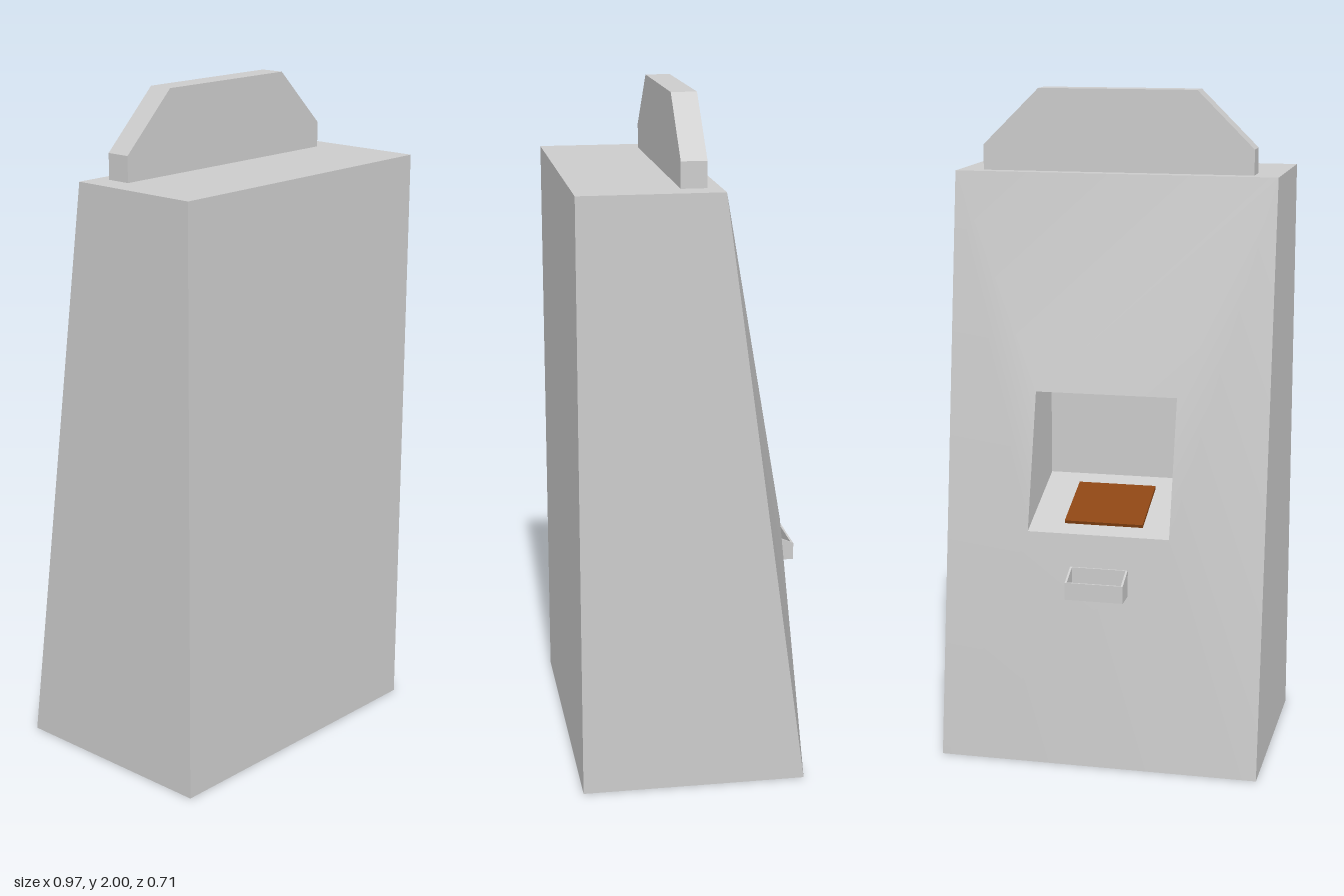
import * as THREE from 'three';

const grey = new THREE.MeshStandardMaterial({ color: 0xcccccc });
const shell = new THREE.MeshStandardMaterial({ color: 0xcccccc, side: THREE.DoubleSide });
const brown = new THREE.MeshStandardMaterial({ color: 0x8b4513 });

function addMesh(parent, name, geometry, material = grey) {
  const mesh = new THREE.Mesh(geometry, material);
  mesh.name = name;
  parent.add(mesh);
  return mesh;
}

// Surface from corner points and triangle indices
function surface(points, index, flat) {
  let g = new THREE.BufferGeometry().setFromPoints(points.map(p => new THREE.Vector3(...p)));
  g.setIndex(index);
  if (flat) g = g.toNonIndexed();
  g.computeVertexNormals();
  return g;
}

// Flat four-sided faces, corners counter-clockwise
function quads(list) {
  const index = list.flatMap((_, i) => [0, 1, 2, 0, 2, 3].map(k => k + i * 4));
  return surface(list.flat(), index, true);
}

function extrude(points, depth) {
  const shape = new THREE.Shape(points.map(([x, y]) => new THREE.Vector2(x, y)));
  return new THREE.ExtrudeGeometry(shape, { depth, bevelEnabled: false });
}

// Rectangular ring, seen from behind: left bottom, right bottom, right top, left top
const ring = (w, y0, z0, y1, z1) => [[w, y0, z0], [-w, y0, z0], [-w, y1, z1], [w, y1, z1]];

export function createModel() {
  const model = new THREE.Group();
  const W = 0.484, H = 1.757, F = 0.353, T = -0.06, B = -0.305;
  const outer = ring(W, 0, B, H, T);
  const opening = ring(0.213, 0.72, -0.281, 1.12, -0.172);
  const nicheBack = ring(0.213, 0.828, 0.012, 1.12, 0.012);

  // Cabinet shell, open underneath
  addMesh(model, 'cabinetShell', quads([
    [[-W, 0, F], [W, 0, F], [W, H, F], [-W, H, F]],
    [[W, 0, F], [W, 0, B], [W, H, T], [W, H, F]],
    [[-W, 0, B], [-W, 0, F], [-W, H, F], [-W, H, T]],
    [[-W, H, F], [W, H, F], [W, H, T], [-W, H, T]],
  ]), shell);

  // Sloping panel around the opening, bulging at its lower edge
  addMesh(model, 'slopingPanel', surface([...outer, ...opening], [
    0, 1, 5, 0, 5, 4,
    1, 2, 5, 2, 6, 5,
    2, 3, 7, 2, 7, 6,
    3, 0, 4, 3, 4, 7,
  ]), shell);

  // Recess: floor, sides and ceiling, then the rear wall
  const walls = opening.map((p, i) => {
    const j = (i + 1) % 4;
    return [p, opening[j], nicheBack[j], nicheBack[i]];
  });
  addMesh(model, 'recess', quads([...walls, nicheBack]), shell);

  // Coloured pad lying on the sloping shelf
  const pad = addMesh(model, 'shelfPad', new THREE.BoxGeometry(0.236, 0.012, 0.202), brown);
  pad.position.set(-0.007, 0.776, -0.14);
  pad.rotation.x = -0.35;

  // Head board on top
  const board = addMesh(model, 'headBoard', extrude([
    [-0.408, H], [0.408, H], [0.408, 1.832], [0.238, 2], [-0.238, 2], [-0.408, 1.832],
  ], 0.074));
  board.position.z = -0.02;

  // Small open tray below the recess
  const tray = new THREE.Group();
  tray.name = 'tray';
  tray.position.x = -0.004;
  model.add(tray);
  const t = 0.006, w = 0.174;
  for (const x of [-w / 2, w / 2 - t]) {
    const side = extrude([[0.275, 0.54], [0.354, 0.54], [0.354, 0.592], [0.288, 0.62], [0.275, 0.62]], t);
    side.rotateY(Math.PI / 2);
    addMesh(tray, 'traySide', side).position.x = x;
  }
  const inner = w - 2 * t;
  addMesh(tray, 'trayFloor', new THREE.BoxGeometry(inner, t, 0.079)).position.set(0, 0.543, -0.3145);
  addMesh(tray, 'trayFront', new THREE.BoxGeometry(inner, 0.052, t)).position.set(0, 0.566, -0.351);
  addMesh(tray, 'trayBack', new THREE.BoxGeometry(inner, 0.08, 0.014)).position.set(0, 0.58, -0.283);

  return model;
}
